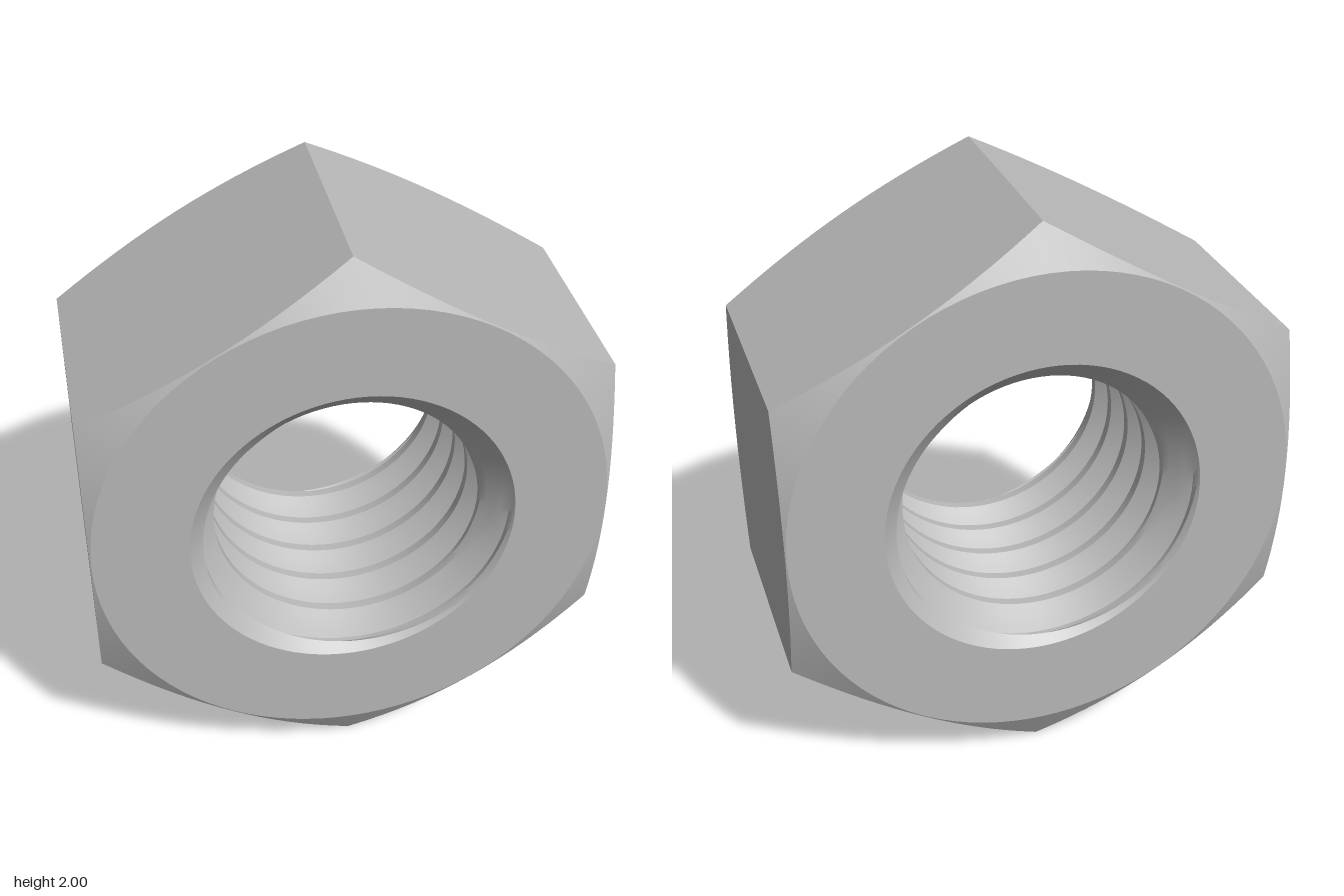
import * as THREE from 'three';
import { toCreasedNormals } from 'three/addons/utils/BufferGeometryUtils.js';

const APOTHEM = 0.866;      // centre to flat
const HALF = 0.455;         // half thickness
const MOUTH = 0.545;        // countersink radius on each face
const MINOR = 0.445;        // thread crest radius
const MAJOR = 0.53;         // thread root radius
const PITCH = 0.16;
const COLS = 96;            // divisions around the axis

// Surface swept around the z axis; point(row, angle) returns [radius, z]
function ringSurface(rows, point) {
  const positions = [], index = [];
  for (let i = 0; i < rows; i++) {
    for (let j = 0; j <= COLS; j++) {
      const angle = (j / COLS) * Math.PI * 2;
      const [r, z] = point(i, angle);
      positions.push(r * Math.cos(angle), r * Math.sin(angle), z);
    }
  }
  const v = (k) => new THREE.Vector3().fromArray(positions, k * 3);
  const addTriangle = (a, b, c) => {
    if (new THREE.Triangle(v(a), v(b), v(c)).getArea() > 1e-8) index.push(a, b, c);
  };
  for (let i = 0; i < rows - 1; i++) {
    for (let j = 0; j < COLS; j++) {
      const a = i * (COLS + 1) + j, b = a + COLS + 1;
      addTriangle(a, b, b + 1);
      addTriangle(a, b + 1, a + 1);
    }
  }
  const geometry = new THREE.BufferGeometry();
  geometry.setAttribute('position', new THREE.Float32BufferAttribute(positions, 3));
  geometry.setIndex(index);
  return toCreasedNormals(geometry, 0.45);
}

// Hexagon radius at an angle, with flats facing +x and -x
function hexRadius(angle) {
  const sector = Math.PI / 3;
  return APOTHEM / Math.cos(angle - Math.round(angle / sector) * sector);
}

// Hex body: front face, conical corner chamfer, flats, then the same at the back
function bodyPoint(row, angle) {
  const r = hexRadius(angle);
  const flat = APOTHEM - 0.004;
  const edge = HALF - (r - flat) * 0.55;
  return [[MOUTH, HALF], [flat, HALF], [r, edge], [r, -edge], [flat, -HALF], [MOUTH, -HALF]][row];
}

// Thread section over one pitch: [fraction of pitch, depth from crest 0 to root 1]
const THREAD = [[0, 0], [0.1, 0], [0.2, 0], [0.32, 0.33], [0.44, 0.67], [0.55, 1],
  [0.65, 1], [0.76, 0.67], [0.88, 0.33]];
const TURNS = Math.ceil((2 * HALF) / PITCH) + 2;

// Right-hand helical thread, cut back by a 45 degree countersink at both mouths
function borePoint(row, angle) {
  const [fraction, depth] = THREAD[row % THREAD.length];
  const turn = Math.floor(row / THREAD.length) + fraction + angle / (Math.PI * 2);
  const z = THREE.MathUtils.clamp(-HALF - PITCH + turn * PITCH, -HALF, HALF);
  const thread = MINOR + (MAJOR - MINOR) * depth;
  const countersink = MOUTH - (HALF - Math.abs(z));
  return [Math.max(thread, countersink), z];
}

export function createModel() {
  const steel = new THREE.MeshStandardMaterial({ color: 0xb8b8b8 });
  steel.name = 'steel grey';

  const nut = new THREE.Group();
  nut.name = 'hexNut';

  const body = new THREE.Mesh(ringSurface(6, bodyPoint), steel);
  body.name = 'hexBody';

  const bore = new THREE.Mesh(ringSurface(TURNS * THREAD.length, borePoint), steel);
  bore.name = 'threadedBore';

  nut.add(body, bore);
  nut.position.y = 1;

  const model = new THREE.Group();
  model.name = 'model';
  model.add(nut);
  return model;
}
